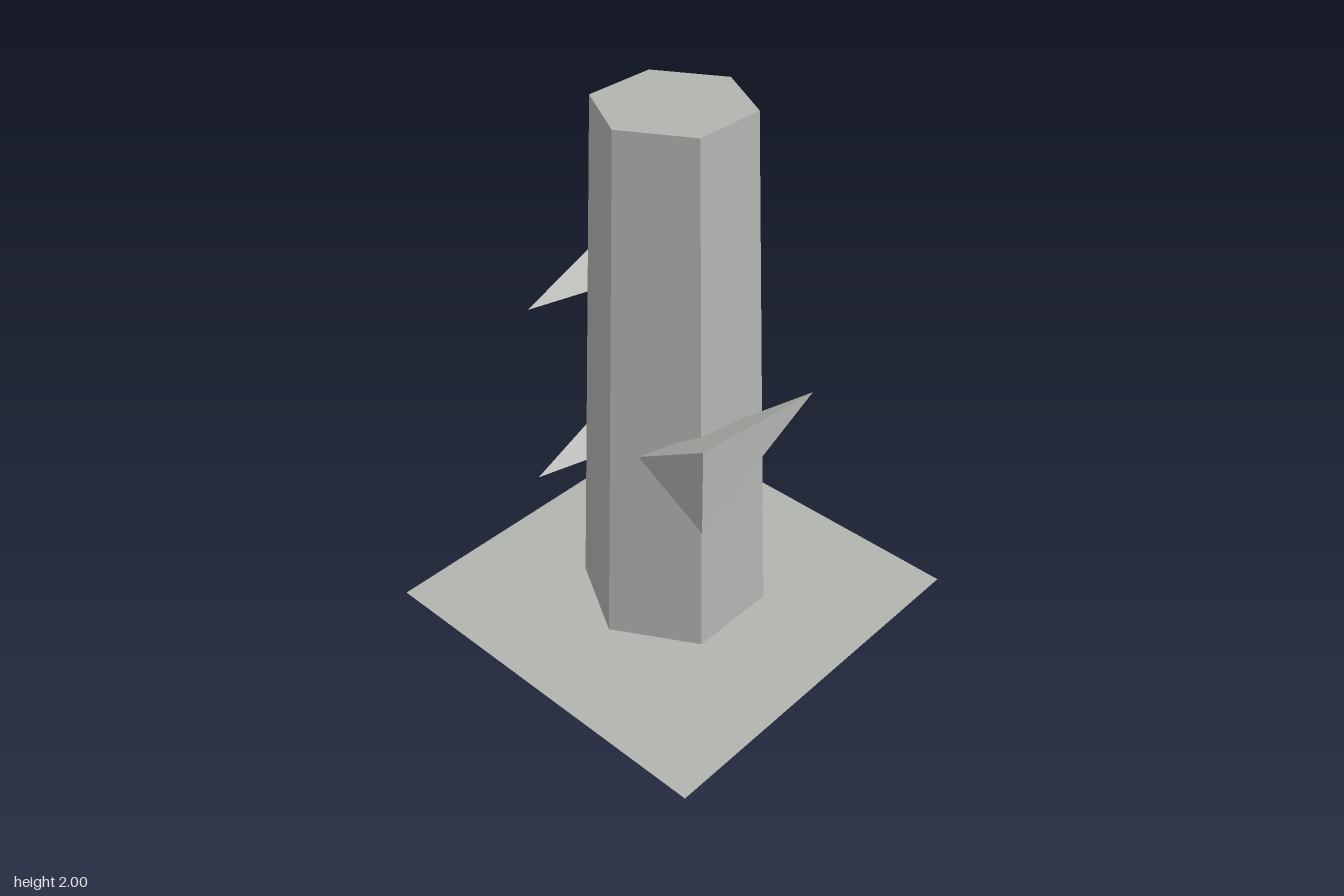
import * as THREE from 'three';

export function createModel() {
  const group = new THREE.Group();
  const stone = new THREE.MeshStandardMaterial({ color: 0xb2b4b0, flatShading: true, side: THREE.DoubleSide });
  stone.name = 'grey stone';

  const add = (name, geometry, x, y, z) => {
    const mesh = new THREE.Mesh(geometry, stone);
    mesh.name = name;
    mesh.position.set(x, y, z);
    group.add(mesh);
    return mesh;
  };

  // Thin square ground sheet
  add('base', new THREE.PlaneGeometry(1.444, 1.444).rotateX(-Math.PI / 2), 0, 0, 0);

  // Tapered six-sided column with a corner facing front
  add('column', new THREE.CylinderGeometry(0.27, 0.35, 1.98, 6), 0, 1.01, 0);

  // Three-sided spikes lying along z, with one base corner sunk into the column
  const spike = new THREE.ConeGeometry(0.19, 0.685, 3).rotateX(-Math.PI / 2).rotateZ(Math.PI / 2);
  add('leftSpike', spike, 0.35, 0.9, 0);
  for (const [name, y] of [['rightLowerSpike', 0.54], ['rightUpperSpike', 1.255]]) {
    add(name, spike, -0.35, y, 0).rotation.y = Math.PI;
  }

  return group;
}
